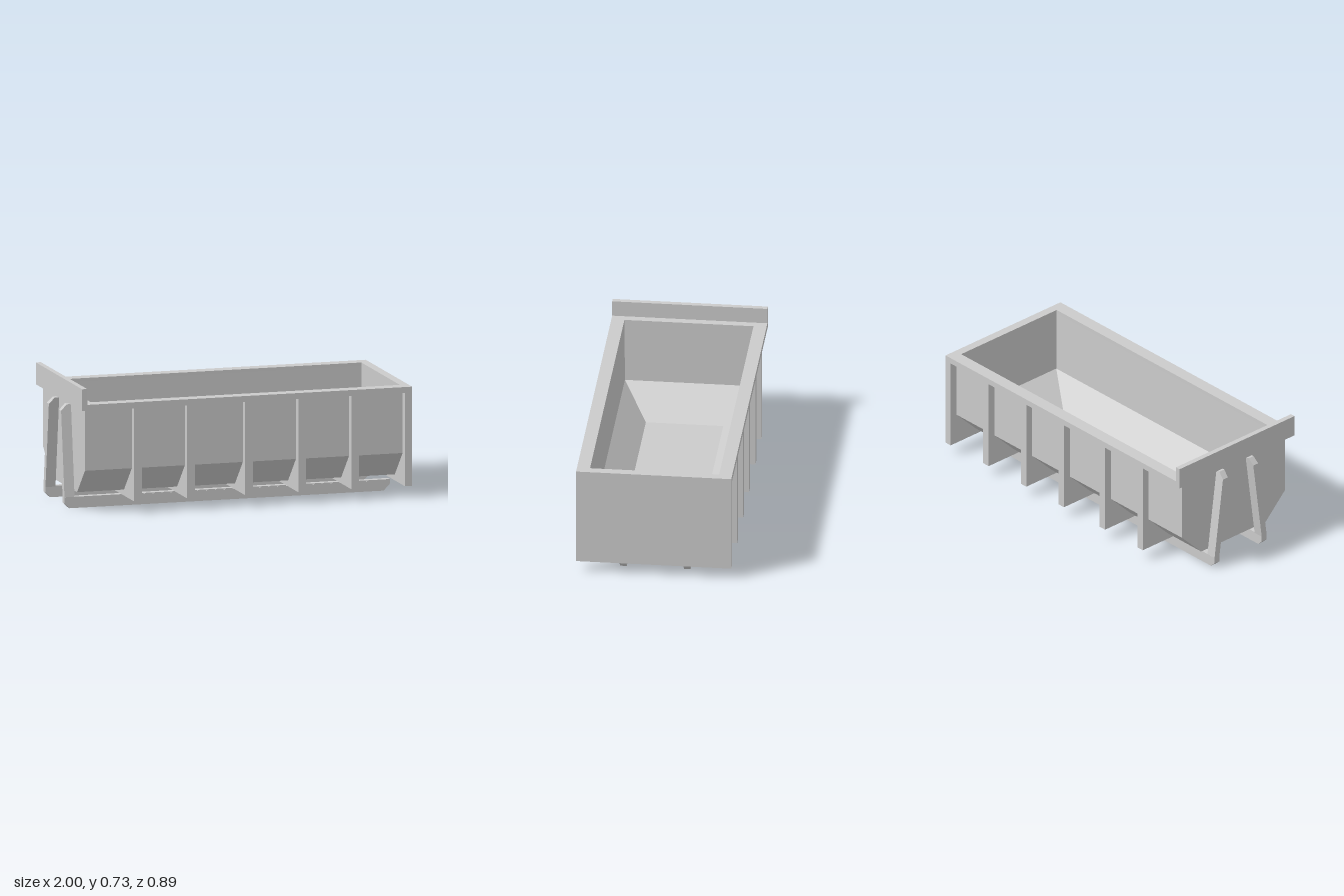
import * as THREE from 'three';

const material = new THREE.MeshStandardMaterial({ color: 0xcccccc, flatShading: true });

function addMesh(parent, name, geometry) {
  const mesh = new THREE.Mesh(geometry, material);
  mesh.name = name;
  parent.add(mesh);
  return mesh;
}

// Box given by its limits on each axis
function boxBetween(x0, x1, y0, y1, z0, z1) {
  return new THREE.BoxGeometry(x1 - x0, y1 - y0, z1 - z0)
    .translate((x0 + x1) / 2, (y0 + y1) / 2, (z0 + z1) / 2);
}

function shapeFrom(points) {
  return new THREE.Shape(points.map(([x, y]) => new THREE.Vector2(x, y)));
}

function extrude(shape, depth) {
  return new THREE.ExtrudeGeometry(shape, { depth, bevelEnabled: false });
}

// Closed skin through rectangular rings [x0, x1, halfZ, y]
function loftRectangles(rings) {
  const positions = [];
  const index = [];
  for (const [x0, x1, z, y] of rings) {
    positions.push(x0, y, z, x1, y, z, x1, y, -z, x0, y, -z);
  }
  for (let r = 0; r < rings.length - 1; r++) {
    for (let i = 0; i < 4; i++) {
      const a = r * 4 + i;
      const b = r * 4 + (i + 1) % 4;
      index.push(a, b, b + 4, a, b + 4, a + 4);
    }
  }
  const last = (rings.length - 1) * 4;
  index.push(0, 2, 1, 0, 3, 2, last, last + 1, last + 2, last, last + 2, last + 3);
  const geometry = new THREE.BufferGeometry();
  geometry.setAttribute('position', new THREE.Float32BufferAttribute(positions, 3));
  geometry.setIndex(index);
  const flat = geometry.toNonIndexed();
  flat.computeVertexNormals();
  return flat;
}

export function createModel() {
  const model = new THREE.Group();
  model.name = 'rollOffContainer';

  // Tub: outer skin with sloped sides, inner skin sloped on all four sides
  addMesh(model, 'tub', loftRectangles([
    [-0.94, 0.96, 0.25, 0.1],
    [-0.94, 0.96, 0.4, 0.25],
    [-0.94, 0.96, 0.4, 0.62],
    [-0.895, 0.95, 0.37, 0.62],
    [-0.895, 0.95, 0.367, 0.255],
    [-0.66, 0.73, 0.222, 0.112],
  ]));

  // Top rim
  const rim = shapeFrom([[-0.97, -0.445], [1, -0.445], [1, 0.445], [-0.97, 0.445]]);
  rim.holes.push(shapeFrom([[-0.895, -0.37], [-0.895, 0.37], [0.95, 0.37], [0.95, -0.37]]));
  addMesh(model, 'rim', extrude(rim, 0.035).rotateX(-Math.PI / 2).translate(0, 0.605, 0));

  // End panels
  addMesh(model, 'headboard', boxBetween(-0.97, -0.94, 0.605, 0.732, -0.445, 0.445));
  addMesh(model, 'tailgate', boxBetween(0.957, 1, 0.065, 0.605, -0.445, 0.445));

  // U-shaped ribs wrapping the sides and the floor
  const ribs = new THREE.Group();
  ribs.name = 'ribs';
  model.add(ribs);
  const ribShape = shapeFrom([
    [-0.445, 0.605], [-0.445, 0.065], [0.445, 0.065], [0.445, 0.605], [0.395, 0.605],
    [0.395, 0.252], [0.248, 0.105], [-0.248, 0.105], [-0.395, 0.252], [-0.395, 0.605],
  ]);
  for (const x of [-0.66, -0.343, 0.003, 0.32, 0.637]) {
    addMesh(ribs, 'rib', extrude(ribShape, 0.046).rotateY(Math.PI / 2).translate(x, 0, 0));
  }

  // Skid rails and leaning end posts, one set per side
  const railShape = shapeFrom([
    [-0.97, 0], [0.905, 0], [0.942, 0.038], [0.942, 0.065], [-1, 0.065], [-1, 0.028],
  ]);
  const postShape = shapeFrom([
    [-1, 0.06], [-0.94, 0.06], [-0.94, 0.59], [-0.965, 0.59], [-1, 0.555],
  ]);
  for (const side of [1, -1]) {
    const z = side * 0.183;
    addMesh(model, 'skidRail', extrude(railShape, 0.038).translate(0, 0, z - 0.019));
    addMesh(model, 'railPlate',
      boxBetween(-0.53, 0.84, 0.005, 0.06, z + side * 0.018 - 0.003, z + side * 0.018 + 0.003));

    // Shear the post toward the centre line as it rises
    const post = extrude(postShape, 0.038).translate(0, 0, z - 0.019);
    const p = post.attributes.position;
    for (let i = 0; i < p.count; i++) {
      p.setZ(i, p.getZ(i) - side * 0.07 * (p.getY(i) - 0.06) / 0.53);
    }
    post.computeVertexNormals();
    addMesh(model, 'endPost', post);
  }

  return model;
}
